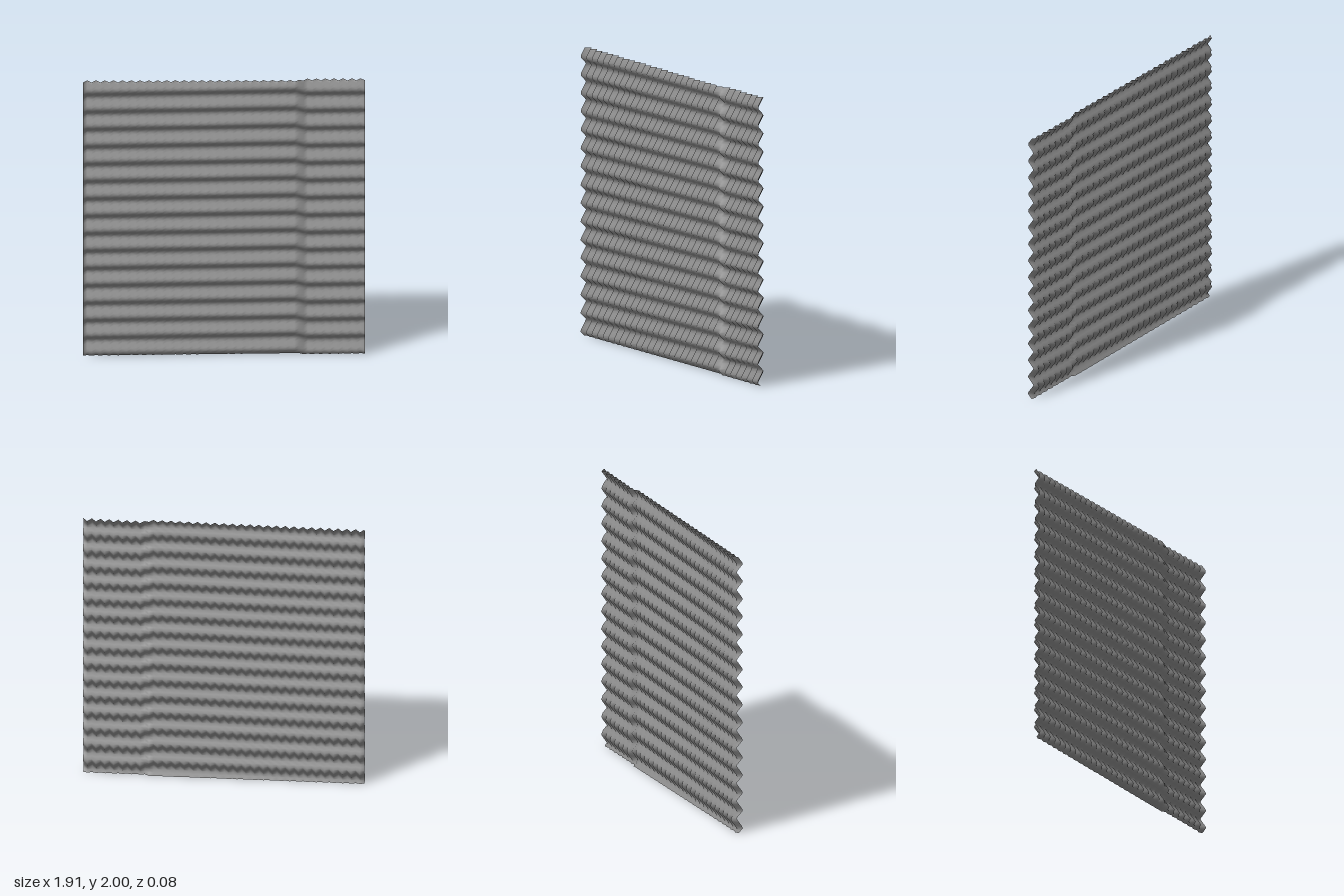
import * as THREE from 'three';

const WIDTH = 1.91, HEIGHT = 2, COLUMNS = 64, ROWS = 126;
const PITCH = 0.1273;   // height of one horizontal ridge
const STEP = 0.4;       // share of the ridge taken by its short step
const SEAM = 0.515;     // where the pleating starts over

// Ridge profile: a long slope coming forward on the way down, then a short step back
function ridge(y) {
  const t = (((1.935 - y) / PITCH) % 1 + 1) % 1;
  return t < STEP ? 1 - 2 * t / STEP : -1 + 2 * (t - STEP) / (1 - STEP);
}

// Depth of the sheet: horizontal ridges, staggered and pleated from column to column
function depth(x, y, column) {
  const left = x < SEAM;
  const t = left ? (x + WIDTH / 2) / (SEAM + WIDTH / 2) : (x - SEAM) / (WIDTH / 2 - SEAM);
  const pleat = left ? 0.014 - 0.005 * t : 0.012 + 0.002 * t;
  const drift = left ? 0.005 * t : -0.003 * (1 - t);
  const shift = left ? 0.018 * t : -0.005 * (1 - t);
  const side = column % 2 ? -1 : 1;
  return 0.026 * ridge(y - shift - side * 0.008) + side * pleat + drift;
}

export function createModel() {
  const group = new THREE.Group();
  group.name = 'corrugatedPanel';

  const geometry = new THREE.PlaneGeometry(WIDTH, HEIGHT, COLUMNS, ROWS);
  geometry.translate(0, HEIGHT / 2, 0);
  const p = geometry.attributes.position;
  for (let i = 0; i < p.count; i++) {
    p.setZ(i, depth(p.getX(i), p.getY(i), i % (COLUMNS + 1)));
  }
  geometry.computeVertexNormals();

  const sheet = new THREE.Mesh(
    geometry,
    new THREE.MeshStandardMaterial({ color: 0x868686, side: THREE.DoubleSide })
  );
  sheet.name = 'pleatedSheet';
  group.add(sheet);
  return group;
}
